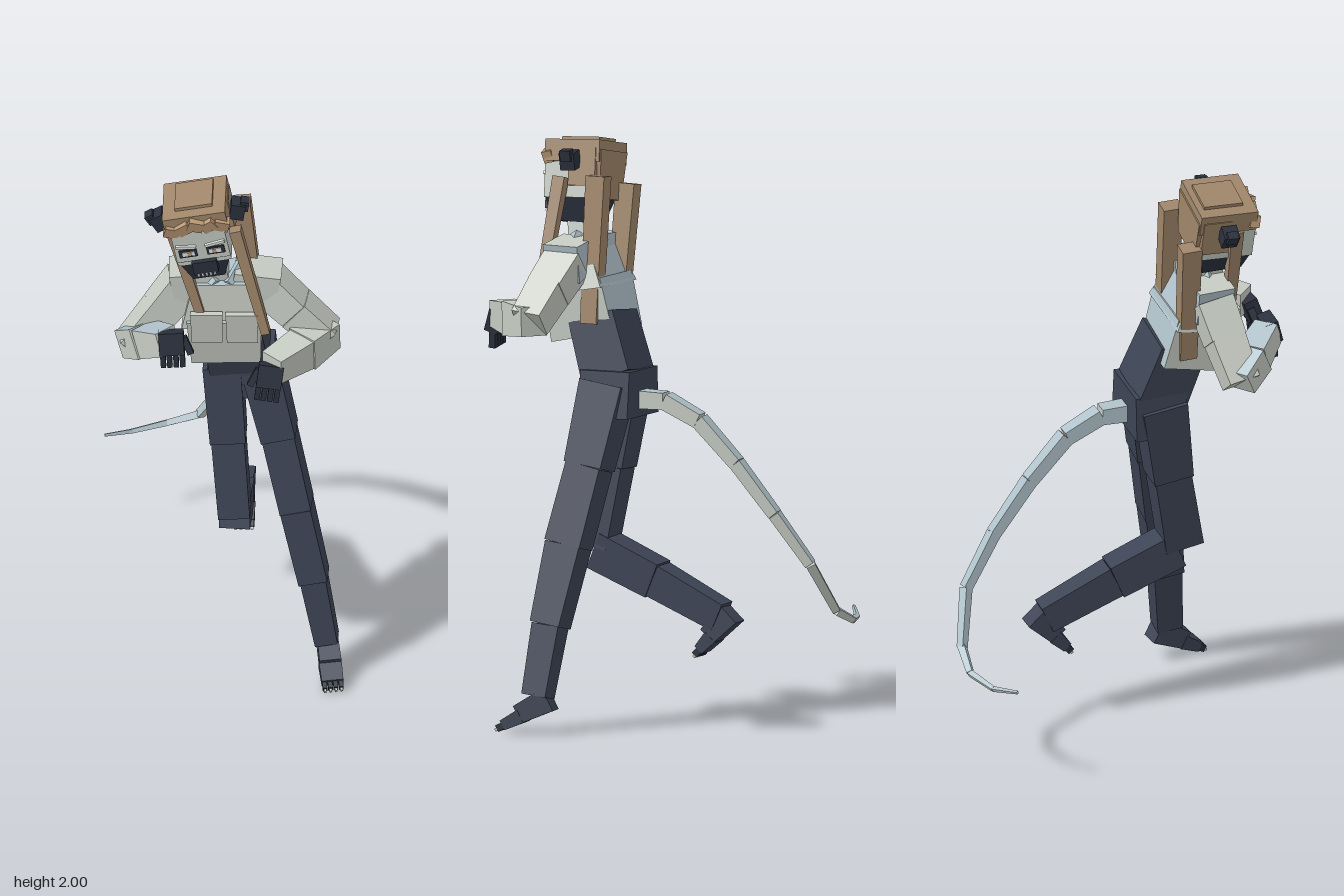
import * as THREE from 'three';

const flat = (name, color) => {
  const m = new THREE.MeshStandardMaterial({ color });
  m.name = name;
  return m;
};
const navy = flat('navy cloth', 0x3d4455);
const black = flat('dark skin', 0x2a303c);
const pale = flat('pale grey', 0xc6cbc3);
const blue = flat('blue grey', 0xb0c2ca);
const brown = flat('brown hair', 0xa0866a);
const tan = flat('tan band', 0xbd9b76);
const white = flat('white', 0xe2e6e0);
const V = (p) => new THREE.Vector3(...p);

// Face order: +x, -x, +y, -y, +z, -z; back faces are blue
const shirt = [pale, pale, blue, pale, pale, blue];
const tailSkin = [pale, blue, pale, pale, blue, pale];

// Tapered box running from a to b; s0 and s1 are [width, depth] at each end
function limb(parent, name, a, b, s0, s1, mat, front = [0, 0, 1]) {
  const A = V(a), B = V(b), y = B.clone().sub(A), h = y.length();
  y.normalize();
  const z = V(front);
  z.addScaledVector(y, -z.dot(y)).normalize();
  const x = new THREE.Vector3().crossVectors(y, z);
  const geo = new THREE.BoxGeometry(1, h, 1), p = geo.attributes.position;
  for (let i = 0; i < p.count; i++) {
    const s = p.getY(i) < 0 ? s0 : s1;
    p.setX(i, p.getX(i) * s[0]);
    p.setZ(i, p.getZ(i) * s[1]);
  }
  geo.computeVertexNormals();
  const mesh = new THREE.Mesh(geo, mat);
  mesh.name = name;
  mesh.quaternion.setFromRotationMatrix(new THREE.Matrix4().makeBasis(x, y, z));
  mesh.position.copy(A.add(B).multiplyScalar(0.5));
  parent.add(mesh);
  return mesh;
}

function box(parent, name, size, pos, mat, rot = [0, 0, 0]) {
  const mesh = new THREE.Mesh(new THREE.BoxGeometry(...size), mat);
  mesh.name = name;
  mesh.position.set(...pos);
  mesh.rotation.set(...rot);
  parent.add(mesh);
  return mesh;
}

// Chain of limbs; sizes holds [w0, d0, w1, d1] for each segment
function chain(parent, name, pts, sizes, mat, front) {
  sizes.forEach(([w0, d0, w1, d1], i) =>
    limb(parent, name + (i + 1), pts[i], pts[i + 1], [w0, d0], [w1, d1], mat, front));
}

// Group with its y axis along the given direction
function aimed(parent, name, pos, dir, front) {
  const g = new THREE.Group(), y = V(dir).normalize(), z = V(front);
  z.addScaledVector(y, -z.dot(y)).normalize();
  g.quaternion.setFromRotationMatrix(
    new THREE.Matrix4().makeBasis(new THREE.Vector3().crossVectors(y, z), y, z));
  g.position.set(...pos);
  g.name = name;
  parent.add(g);
  return g;
}

// Palm, four curled fingers and a thumb
function hand(parent, name, pos, dir, front, side) {
  const g = aimed(parent, name, pos, dir, front);
  box(g, 'palm', [0.085, 0.08, 0.05], [0, 0.035, 0], black);
  for (let i = 0; i < 4; i++)
    box(g, 'finger', [0.018, 0.065, 0.024], [-0.033 + i * 0.022, 0.095, -0.012], black, [-0.25, 0, 0]);
  box(g, 'thumb', [0.022, 0.065, 0.025], [side * 0.052, 0.05, -0.01], black, [0, 0, -side * 0.35]);
}

// Foot along its local y, with the upper side along local z
function foot(parent, name, pos, dir, up, len) {
  const g = aimed(parent, name, pos, dir, up);
  limb(g, 'heel', [0, -0.04, 0], [0, len * 0.55, 0], [0.07, 0.085], [0.075, 0.065], navy);
  limb(g, 'forefoot', [0, len * 0.5, -0.01], [0, len, -0.01], [0.078, 0.05], [0.074, 0.036], navy);
  for (let i = 0; i < 4; i++)
    box(g, 'toe', [0.015, 0.03, 0.024], [-0.028 + i * 0.0187, len + 0.008, -0.012], black);
  for (let i = 0; i < 4; i++)
    box(g, 'claw', [0.009, 0.012, 0.01], [-0.028 + i * 0.0187, len + 0.026, -0.014], pale);
}

function makeHead() {
  const g = new THREE.Group();
  g.name = 'head';
  g.position.set(-0.068, 1.865, 0.345);
  g.rotation.set(0.05, 0, 0.2);
  // Face and dark lower mask
  box(g, 'face', [0.185, 0.15, 0.18], [0, -0.01, 0.012], pale);
  limb(g, 'jaw', [0, -0.165, 0.015], [0, -0.075, 0.01], [0.11, 0.14], [0.18, 0.185], black);
  box(g, 'muzzle', [0.085, 0.05, 0.03], [0, -0.095, 0.105], black);
  for (let i = 0; i < 5; i++)
    box(g, 'tooth', [0.007, 0.012, 0.006], [-0.028 + i * 0.014, -0.122, 0.119], white);
  for (const s of [-1, 1]) {
    box(g, 'eyeLine', [0.062, 0.03, 0.006], [s * 0.048, -0.035, 0.104], black);
    box(g, 'eye', [0.042, 0.016, 0.006], [s * 0.046, -0.035, 0.107], white);
    box(g, 'iris', [0.014, 0.016, 0.006], [s * 0.043, -0.035, 0.109], tan);
    box(g, 'brow', [0.07, 0.01, 0.012], [s * 0.05, -0.006, 0.106], white, [0, 0, s * 0.15]);
    // Round side ornaments
    box(g, 'ear', [0.05, 0.06, 0.055], [s * 0.135, 0.04, -0.01], black, [0, 0, -s * 0.35]);
    box(g, 'earTip', [0.03, 0.038, 0.038], [s * 0.162, 0.054, -0.01], black, [0, 0, -s * 0.35]);
    box(g, 'sideHair', [0.025, 0.13, 0.1], [s * 0.1, 0.02, -0.045], brown);
  }
  // Hair cap with raised crown panel
  box(g, 'hairCap', [0.218, 0.075, 0.205], [0, 0.075, -0.005], brown);
  box(g, 'crownPanel', [0.13, 0.014, 0.14], [0, 0.117, -0.015], brown);
  limb(g, 'backHair', [0, -0.085, -0.055], [0, 0.08, -0.055], [0.17, 0.1], [0.21, 0.115], brown);
  for (let i = 0; i < 5; i++) {
    const u = i - 2;
    box(g, 'fringe', [0.052, 0.042, 0.035], [u * 0.043, 0.078 - Math.abs(u) * 0.009, 0.097 - Math.abs(u) * 0.004],
      tan, [0.2, 0, u % 2 ? 0.45 : -0.45]);
  }
  return g;
}

export function createModel() {
  const g = new THREE.Group();
  g.name = 'figure';

  // Hips and waist
  limb(g, 'pelvis', [0.07, 1.07, 0.148], [0.065, 1.23, 0.15], [0.25, 0.18], [0.225, 0.185], navy);
  limb(g, 'waist', [0.06, 1.2, 0.155], [0.035, 1.4, 0.225], [0.21, 0.18], [0.2, 0.17], navy);

  // Shirt, chest and shoulders
  limb(g, 'lowerTorso', [0.018, 1.335, 0.255], [0.012, 1.52, 0.295], [0.235, 0.235], [0.255, 0.22], shirt);
  limb(g, 'upperTorso', [0.012, 1.49, 0.285], [0.005, 1.65, 0.315], [0.29, 0.22], [0.2, 0.13], shirt);
  for (const s of [-1, 1]) {
    limb(g, 'chestPanel', [0.015 + s * 0.06, 1.42, 0.39], [0.013 + s * 0.06, 1.54, 0.408],
      [0.105, 0.03], [0.11, 0.02], pale);
    limb(g, 'shoulder', [0.01 + s * 0.03, 1.625, 0.3], [0.015 + s * 0.18, 1.595, 0.305],
      [0.1, 0.13], [0.13, 0.13], shirt, [0, 0, 1]);
    limb(g, 'collar', [0.005 + s * 0.03, 1.63, 0.37], [s * 0.075, 1.67, 0.3], [0.05, 0.025], [0.05, 0.025], blue);
  }
  limb(g, 'neck', [-0.015, 1.62, 0.305], [-0.035, 1.75, 0.33], [0.095, 0.095], [0.085, 0.085], pale);
  g.add(makeHead());

  // Long hair locks
  limb(g, 'frontLockLeft', [0.155, 1.465, 0.405], [0.05, 1.87, 0.375], [0.03, 0.035], [0.04, 0.045], brown);
  limb(g, 'frontLockRight', [-0.06, 1.5, 0.385], [-0.17, 1.88, 0.375], [0.03, 0.035], [0.04, 0.045], brown);
  limb(g, 'backLockLeft', [0.125, 1.385, 0.225], [0.068, 1.885, 0.225], [0.055, 0.06], [0.06, 0.07], brown);
  limb(g, 'backLockRight', [-0.085, 1.385, 0.225], [-0.15, 1.83, 0.215], [0.055, 0.06], [0.06, 0.07], brown);

  // Left arm
  chain(g, 'leftUpperArm', [[0.155, 1.6, 0.3], [0.255, 1.51, 0.325], [0.365, 1.415, 0.345]],
    [[0.12, 0.13, 0.11, 0.125], [0.115, 0.12, 0.1, 0.11]], pale);
  chain(g, 'leftForearm', [[0.37, 1.42, 0.325], [0.28, 1.415, 0.43], [0.18, 1.41, 0.535]],
    [[0.095, 0.1, 0.115, 0.12], [0.11, 0.11, 0.09, 0.09]], pale, [0, 1, 0]);
  hand(g, 'leftHand', [0.178, 1.42, 0.54], [-0.1, -0.75, 0.25], [0, 0.2, 1], 1);

  // Right arm
  chain(g, 'rightUpperArm', [[-0.13, 1.595, 0.3], [-0.21, 1.49, 0.32], [-0.305, 1.365, 0.345]],
    [[0.12, 0.13, 0.11, 0.125], [0.11, 0.12, 0.1, 0.11]], pale);
  chain(g, 'rightForearm', [[-0.31, 1.375, 0.335], [-0.25, 1.43, 0.41], [-0.175, 1.48, 0.49]],
    [[0.095, 0.1, 0.11, 0.11], [0.1, 0.105, 0.085, 0.085]], [pale, pale, pale, pale, blue, pale], [0, 1, 0]);
  hand(g, 'rightHand', [-0.165, 1.515, 0.49], [0.05, -0.75, 0.2], [0, 0.2, 1], -1);

  // Standing leg
  chain(g, 'leftLeg', [[0.13, 1.18, 0.16], [0.195, 0.905, 0.2], [0.255, 0.64, 0.25], [0.315, 0.37, 0.29], [0.36, 0.13, 0.315]],
    [[0.13, 0.16, 0.12, 0.14], [0.112, 0.13, 0.108, 0.135], [0.105, 0.13, 0.1, 0.11], [0.088, 0.1, 0.078, 0.09]], navy);
  foot(g, 'leftFoot', [0.362, 0.105, 0.305], [0.14, -0.45, 0.85], [0, 1, 0.3], 0.145);

  // Raised leg, bent at the knee
  chain(g, 'rightThigh', [[0.0, 1.18, 0.16], [0.022, 0.89, 0.2], [0.045, 0.61, 0.25]],
    [[0.13, 0.16, 0.122, 0.14], [0.113, 0.13, 0.108, 0.135]], navy);
  chain(g, 'rightShin', [[0.045, 0.6, 0.23], [0.052, 0.51, 0.01], [0.06, 0.4, -0.235]],
    [[0.105, 0.13, 0.1, 0.125], [0.09, 0.115, 0.08, 0.1]], navy, [0, 1, 0.4]);
  foot(g, 'rightFoot', [0.06, 0.385, -0.245], [0.02, -0.8, 0.75], [0, 0.75, 0.8], 0.13);

  // Tail
  const tail = [[0.07, 1.13, 0.07], [0.07, 1.13, -0.03], [0.067, 1.07, -0.155], [0.057, 0.93, -0.29], [0.04, 0.76, -0.425],
    [0, 0.59, -0.54], [-0.1, 0.42, -0.59], [-0.21, 0.375, -0.6], [-0.33, 0.365, -0.56], [-0.42, 0.385, -0.505]];
  chain(g, 'tail', tail, tail.slice(1).map((_, i) => {
    const w = 0.062 - i * 0.006, e = w - 0.005;
    return [w, w, e, e];
  }), tailSkin, [0, 1, -0.6]);
  return g;
}
